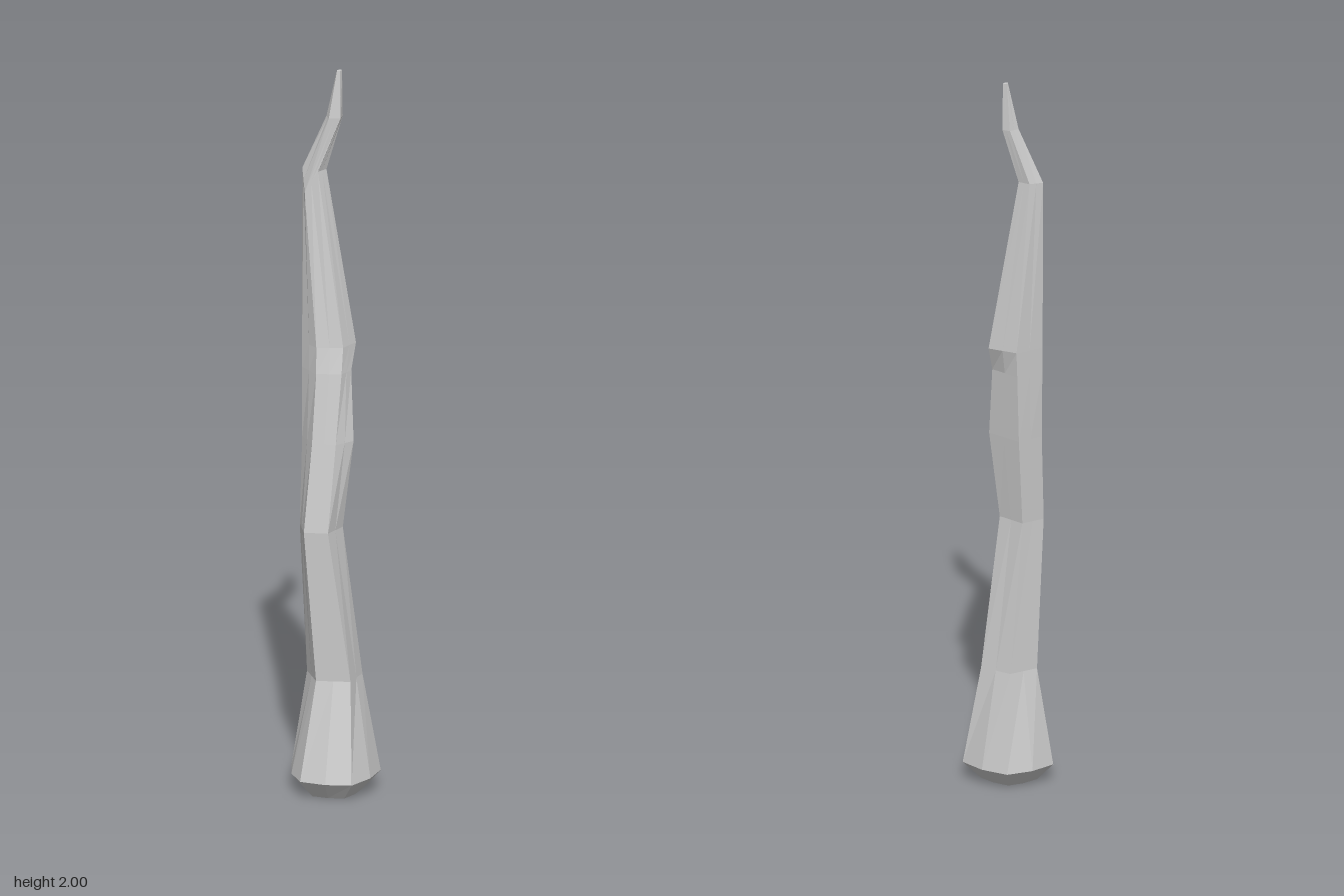
import * as THREE from 'three';

// Five ridge points per ring as [x, z, optional y offset], running +x, front, -x, back left, back right
const RINGS = [
  { y: 0.32, pts: [[0.065, -0.01], [0, 0.055], [-0.08, 0.02], [-0.06, -0.06], [0.03, -0.08]] },
  { y: 0.74, pts: [[0.035, 0.043], [-0.012, 0.087], [-0.08, 0.045], [-0.065, -0.02], [0.015, -0.025]] },
  { y: 0.98, pts: [[0.028, 0.01], [-0.018, 0.054], [-0.088, 0.03], [-0.072, -0.04], [0.032, -0.048]] },
  { y: 1.17, pts: [[0.018, -0.018], [-0.026, 0.033], [-0.098, 0.022], [-0.078, -0.052], [0.01, -0.058]] },
  { y: 1.24, pts: [[0.01, -0.03], [-0.034, 0.026], [-0.101, 0.02], [-0.08, -0.057], [-0.003, -0.085]] },
  { y: 1.72, pts: [[-0.065, -0.005], [-0.092, 0.018, -0.06], [-0.118, 0.005], [-0.1, -0.028], [-0.068, -0.037]] },
  { y: 1.87, pts: [[-0.025, -0.05], [-0.045, -0.026], [-0.066, -0.035], [-0.06, -0.062], [-0.04, -0.07]] },
  { y: 2.0, pts: [[-0.035, -0.056], [-0.04, -0.05], [-0.045, -0.054], [-0.045, -0.063], [-0.038, -0.066]] },
];

// Flared foot: ridge points alternate with slightly bulging side points
const FOOT = [[0.115, 0.027], [0.004, 0.113], [-0.118, 0.043], [-0.086, -0.098], [0.064, -0.115]];

// Doubles a five-point ring to ten by adding side midpoints, pushed out by bulge
function ring(pts, y, bulge = 1) {
  const out = [];
  pts.forEach(([x, z, dy = 0], i) => {
    const [nx, nz, ndy = 0] = pts[(i + 1) % pts.length];
    out.push([x, y + dy, z]);
    out.push([(x + nx) / 2 * bulge, y + (dy + ndy) / 2, (z + nz) / 2 * bulge]);
  });
  return out;
}

// Skins a stack of rings and closes both ends
function loft(rings) {
  const n = rings[0].length;
  const pos = rings.flat(2);
  const index = [];
  for (let r = 0; r < rings.length - 1; r++) {
    for (let i = 0; i < n; i++) {
      const a = r * n + i, b = r * n + (i + 1) % n;
      index.push(a, a + n, b, b, a + n, b + n);
    }
  }
  const top = (rings.length - 1) * n;
  for (let i = 1; i < n - 1; i++) {
    index.push(0, i, i + 1);
    index.push(top, top + i + 1, top + i);
  }
  const geo = new THREE.BufferGeometry();
  geo.setAttribute('position', new THREE.Float32BufferAttribute(pos, 3));
  geo.setIndex(index);
  const flat = geo.toNonIndexed();
  flat.computeVertexNormals();
  return flat;
}

export function createModel() {
  const group = new THREE.Group();
  group.name = 'twistedSpike';
  const material = new THREE.MeshStandardMaterial({ color: 0xcccccc, flatShading: true });

  const sole = FOOT.map(([x, z]) => [x * 0.62, z * 0.62]);
  const rings = [
    ring(sole, 0, 1.1),
    ring(FOOT, 0.05, 1.12),
    ...RINGS.map((r) => ring(r.pts, r.y)),
  ];
  const spike = new THREE.Mesh(loft(rings), material);
  spike.name = 'spike';
  group.add(spike);
  return group;
}
